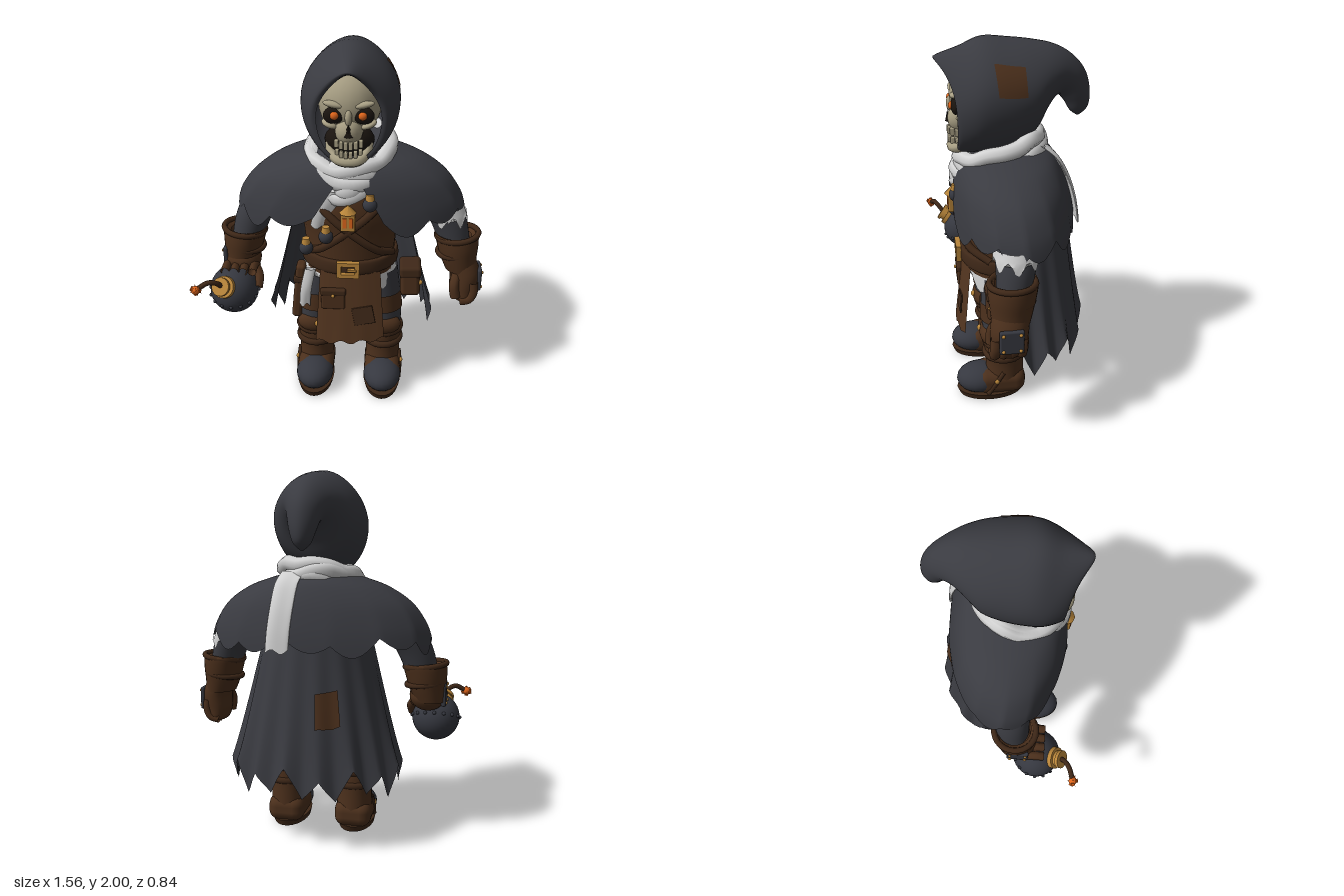
import * as THREE from 'three';
import { mergeVertices } from 'three/addons/utils/BufferGeometryUtils.js';
import { RoundedBoxGeometry } from 'three/addons/geometries/RoundedBoxGeometry.js';

const paint = (name, color, side = THREE.FrontSide) => {
  const m = new THREE.MeshStandardMaterial({ color, side });
  m.name = name;
  return m;
};
const D = THREE.DoubleSide, PI = Math.PI, { sin, cos, abs } = Math;
const lerp = THREE.MathUtils.lerp;
const V = (p) => new THREE.Vector3(...p);

// Smooth surface from a rule f(u, v) -> [x, y, z]
function surf(f, nu, nv) {
  const pos = [], idx = [];
  for (let j = 0; j <= nv; j++) for (let i = 0; i <= nu; i++) pos.push(...f(i / nu, j / nv));
  for (let j = 0; j < nv; j++) for (let i = 0; i < nu; i++) {
    const a = j * (nu + 1) + i, b = a + nu + 1;
    idx.push(a, b, a + 1, a + 1, b, b + 1);
  }
  let g = new THREE.BufferGeometry();
  g.setAttribute('position', new THREE.Float32BufferAttribute(pos, 3));
  g.setIndex(idx);
  g = mergeVertices(g, 1e-4);
  g.computeVertexNormals();
  return g;
}
// Catmull-Rom interpolation between rows of numbers
function sample(rows, t) {
  const n = rows.length - 1, i = Math.min(Math.floor(t * n), n - 1), f = t * n - i;
  const r = (k) => rows[Math.max(0, Math.min(n, k))];
  return r(i).map((b, k) => {
    const a = r(i - 1)[k], c = r(i + 1)[k], d = r(i + 2)[k];
    return b + 0.5 * f * (c - a + f * (2 * a - 5 * b + 4 * c - d + f * (3 * (b - c) + d - a)));
  });
}
// Stacked ellipses, rows of [x, y, z, rx, rz] from top to bottom
const loft = (rows, nu = 28, nv = rows.length * 4, hem = () => 0) => surf((u, v) => {
  const [x, y, z, rx, rz] = sample(rows, v), a = u * 2 * PI;
  return [x + rx * sin(a), y + (v === 1 ? hem(u) : 0), z + rz * cos(a)];
}, nu, nv);
// Thick cloth strip along a path
const strip = (rows, w) => surf((u, v) => {
  const [x, y, z] = sample(rows, v), a = u * 2 * PI;
  return [x + 0.5 * w * sin(a), y + 0.012 * sin(4 * sin(a)) * v, z + 0.012 * cos(a)];
}, 24, 16);
const tube = (pts, r, closed = false, n = 24) =>
  new THREE.TubeGeometry(new THREE.CatmullRomCurve3(pts.map(V), closed), n, r, 8, closed);
const ball = (x, y, z) => new THREE.SphereGeometry(1, 20, 14).scale(x, y, z);
const box = (x, y, z, r = 0.012) => new RoundedBoxGeometry(x, y, z, 2, r);

// Hood cross-sections: top y, top z, bottom y, bottom z, half width, peak sharpness
const hoodRows = [
  [1.885, 0.32, 1.44, 0.265, 0.158, 1], [1.91, 0.365, 1.42, 0.255, 0.192, 1], [1.955, 0.24, 1.42, 0.17, 0.236, 0.5],
  [1.998, 0.13, 1.43, 0.08, 0.248, 0.2], [1.99, 0, 1.46, -0.03, 0.24, 0], [1.975, -0.12, 1.52, -0.13, 0.215, 0],
  [1.95, -0.23, 1.62, -0.18, 0.165, 0], [1.9, -0.32, 1.68, -0.215, 0.12, 0], [1.82, -0.39, 1.7, -0.25, 0.09, 0],
  [1.72, -0.42, 1.66, -0.29, 0.07, 0], [1.63, -0.415, 1.61, -0.32, 0.045, 0], [1.58, -0.37, 1.58, -0.36, 0.004, 0]];
function hoodPoint(u, v, grow = 1) {
  const [yt, zt, yb, zb, rx, peak] = sample(hoodRows, v), c = cos(u * 2 * PI), h = (1 + c) / 2;
  const pinch = 1 - (0.15 + 0.3 * peak) * Math.max(0, c) ** 2;
  return [rx * pinch * grow * sin(u * 2 * PI), (yt + yb) / 2 + c * grow * (yt - yb) / 2,
    zb + (zt - zb) * Math.max(h, 0) ** (1 + 4 * Math.max(peak, 0))];
}
// Long cloak with folds and a torn hem
function cloakPoint(u, v, grow = 0) {
  const a = (-100 + 200 * u) * PI / 180, spike = abs(2 * ((u * 9) % 1) - 1);
  const hem = 0.28 + 0.13 * spike + 0.03 * (1 + sin(u * 25));
  const fold = 0.01 * v * cos(u * 18 * PI) + grow;
  return [(lerp(0.25, 0.47, v) + fold) * sin(a), lerp(1.3, 0.38, v) + (hem - 0.38) * v ** 5,
    lerp(-0.02, -0.075, v) - (lerp(0.26, 0.335, v) + fold) * cos(a)];
}
// Shoulder mantle: y, half width, front depth, back depth, half slit
const mantleRows = [[1.46, 0.15, 0.14, 0.14, 0.005], [1.425, 0.27, 0.21, 0.21, 0.012], [1.38, 0.39, 0.26, 0.25, 0.03],
  [1.3, 0.51, 0.295, 0.29, 0.08], [1.2, 0.585, 0.31, 0.32, 0.14], [1.125, 0.615, 0.315, 0.335, 0.18]];
function mantlePoint(u, v) {
  const [y, rx, rf, rb, gap] = sample(mantleRows, v), a0 = Math.asin(gap / rx), a = a0 + (2 * PI - 2 * a0) * u;
  const torn = v ** 5 * (0.065 * abs(sin(u * 13 * PI)) + 0.025 * sin(u * 37));
  return [rx * sin(a), y - torn, cos(a) * (cos(a) > 0 ? rf : rb)];
}

export function createModel() {
  const cloth = paint('charcoal cloth', 0x3a3b41, D), steel = paint('dark steel', 0x363840);
  const leather = paint('brown leather', 0x4c301c, D), dark = paint('dark leather', 0x3f2818, D);
  const apronMat = paint('apron leather', 0x53351f, D), white = paint('off white linen', 0xd2d2d2, D);
  const bone = paint('bone', 0xa89f84), gold = paint('brass', 0xb8853a);
  const glow = paint('ember orange', 0xe0661c), black = paint('black', 0x1a140f);

  const root = new THREE.Group(), body = new THREE.Group();
  root.name = 'hoodedFigure';
  body.name = 'body';
  body.position.x = 0.055;
  root.add(body);
  const add = (name, geo, mat, x = 0, y = 0, z = 0, rz = 0, rx = 0) => {
    const m = new THREE.Mesh(geo, mat);
    m.name = name;
    m.position.set(x, y, z);
    m.rotation.set(rx, 0, rz);
    body.add(m);
    return m;
  };

  // Hood, cloak and mantle with their patches
  add('hood', surf((u, v) => hoodPoint(u, v), 48, 55), cloth);
  add('hoodPatch', surf((u, v) => hoodPoint(lerp(0.135, 0.225, u) + 0.012 * v, lerp(3.25, 4.45, v) / 11, 1.015), 6, 6), leather);
  add('cloak', surf((u, v) => cloakPoint(u, v), 90, 20), cloth);
  add('cloakPatch', surf((u, v) => cloakPoint(lerp(0.36, 0.455, u), lerp(0.46, 0.66, v) + 0.02 * u, 0.008), 10, 6), leather);
  add('mantle', surf(mantlePoint, 104, 24), cloth);

  // Skull
  add('cranium', ball(0.162, 0.185, 0.175), bone, 0, 1.72, 0.12);
  add('upperJaw', ball(0.07, 0.08, 0.08), bone, 0, 1.595, 0.228);
  add('mouthInside', ball(0.125, 0.085, 0.09), black, 0, 1.53, 0.18);
  add('noseHole', new THREE.ConeGeometry(0.033, 0.065, 3).scale(1, 1, 0.4), black, 0, 1.612, 0.304);
  add('noseBridge', ball(0.018, 0.04, 0.02), bone, 0, 1.672, 0.29);
  add('jaw', tube([[-0.095, 1.52, 0.2], [-0.085, 1.475, 0.235], [-0.05, 1.452, 0.278], [0, 1.447, 0.29],
    [0.05, 1.452, 0.278], [0.085, 1.475, 0.235], [0.095, 1.52, 0.2]], 0.025), bone);
  for (const s of [-1, 1]) {
    add('eyeSocket', ball(0.054, 0.043, 0.024), black, s * 0.07, 1.68, 0.268, -s * 0.15);
    add('eye', ball(0.021, 0.02, 0.016), glow, s * 0.068, 1.682, 0.288);
    add('brow', ball(0.055, 0.017, 0.024), bone, s * 0.07, 1.732, 0.272, s * 0.2);
    add('cheekbone', ball(0.045, 0.02, 0.045), bone, s * 0.092, 1.622, 0.225, s * 0.35);
  }
  for (let i = -2.5; i <= 2.5; i++) {
    const z = 0.3 - 0.006 * i * i;
    add('upperTooth', box(0.021, 0.04, 0.024, 0.006), bone, i * 0.024, 1.535, z);
    add('lowerTooth', box(0.02, 0.035, 0.024, 0.006), bone, i * 0.023, 1.488, z - 0.002);
  }

  // Scarf wound round the neck, with a tail down the back
  for (const [rx, rz, y, drop, r, tilt] of [[0.205, 0.2, 1.445, 0.06, 0.042, 0.02], [0.19, 0.215, 1.395, 0.075, 0.045, -0.03], [0.15, 0.22, 1.35, 0.1, 0.042, 0.03]]) {
    const pts = Array.from({ length: 16 }, (_, i) => {
      const a = i * PI / 8;
      return [rx * sin(a), y - drop * cos(a) + 0.008 * sin(i * 2.4) + tilt * sin(a), 0.05 + rz * cos(a)];
    });
    add('scarfLoop', tube(pts, r, true, 64), white);
  }
  add('scarfFront', ball(0.15, 0.085, 0.06), white, 0, 1.355, 0.225);
  add('scarfKnot', ball(0.07, 0.06, 0.045), white, 0, 1.285, 0.265);
  add('scarfTail', strip([[0.1, 1.47, -0.16], [0.12, 1.41, -0.232], [0.13, 1.3, -0.29], [0.14, 1.18, -0.325], [0.145, 1.07, -0.342]], 0.125), white);
  add('scarfFrontEnd', strip([[-0.06, 1.28, 0.265], [-0.12, 1.17, 0.25], [-0.15, 1.06, 0.225]], 0.1), white);

  // Torso, belt, shirt hem and trousers
  add('tunic', loft([[0, 1.44, 0.03, 0.12, 0.11], [0, 1.32, 0.03, 0.24, 0.2], [0, 1.15, 0.04, 0.28, 0.23],
    [0, 1, 0.04, 0.255, 0.215], [0, 0.86, 0.04, 0.245, 0.205], [0, 0.76, 0.04, 0.25, 0.2]]), leather);
  add('belt', loft([[0, 0.87, 0.04, 0.24, 0.2], [0, 0.865, 0.04, 0.262, 0.226], [0, 0.8, 0.04, 0.265, 0.228], [0, 0.79, 0.04, 0.24, 0.2]]), dark);
  add('shirtHem', loft([[0, 0.8, 0.04, 0.245, 0.19], [0, 0.71, 0.04, 0.265, 0.19]], 48, 4, (u) => 0.05 * sin(u * 38)), white);
  add('shirtTail', strip([[-0.21, 0.78, 0.185], [-0.235, 0.66, 0.195], [-0.245, 0.55, 0.185]], 0.06), white);
  add('trouserSeat', loft([[0, 0.8, 0.04, 0.235, 0.17], [0, 0.65, 0.04, 0.25, 0.15], [0, 0.55, 0.04, 0.18, 0.11], [0, 0.53, 0.04, 0.01, 0.01]]), cloth);
  const buckle = new THREE.Shape([[-0.06, -0.045], [0.06, -0.045], [0.06, 0.045], [-0.06, 0.045]].map((p) => new THREE.Vector2(...p)));
  buckle.holes.push(new THREE.Path([[-0.036, -0.023], [-0.036, 0.023], [0.036, 0.023], [0.036, -0.023]].map((p) => new THREE.Vector2(...p))));
  add('buckle', new THREE.ExtrudeGeometry(buckle, { depth: 0.028, bevelEnabled: false }), gold, 0, 0.834, 0.262);
  add('bucklePin', box(0.05, 0.016, 0.02, 0.004), gold, 0.02, 0.834, 0.283);

  // Chest straps, flasks and lantern
  for (const s of [-1, 1]) {
    const pts = [[-0.23, 1.26, 0.17], [-0.1, 1.14, 0.262], [0.03, 1.03, 0.268], [0.15, 0.93, 0.225], [0.23, 0.87, 0.12]];
    add('chestStrap', tube(pts.map(([x, y, z]) => [s * x, y, z]), 0.022), dark);
  }
  for (const [x, y, z] of [[0.11, 1.22, 0.285], [-0.115, 1.03, 0.28], [-0.225, 0.935, 0.23]]) {
    add('flask', ball(0.038, 0.038, 0.035), steel, x, y, z);
    add('flaskCap', new THREE.CylinderGeometry(0.02, 0.025, 0.032, 12), gold, x, y + 0.042, z);
  }
  add('lanternBody', box(0.075, 0.1, 0.05, 0.008), gold, 0, 1.13, 0.295);
  add('lanternRoof', new THREE.ConeGeometry(0.045, 0.045, 8), gold, 0, 1.2, 0.295);
  for (const s of [-1, 1]) add('lanternPane', box(0.02, 0.055, 0.008, 0.002), glow, s * 0.016, 1.13, 0.32);
  add('lanternRing', new THREE.TorusGeometry(0.014, 0.005, 6, 14), gold, 0, 1.23, 0.295);

  // Apron with pocket and patch
  add('apron', surf((u, v) => {
    const x = lerp(-0.17, 0.19, u) * lerp(0.9, 1.05, v);
    return [x, lerp(0.8, 0.37 + 0.025 * u + 0.012 * sin(u * 21), v), lerp(0.25, 0.3, v) - 0.9 * x * x];
  }, 20, 12), apronMat);
  add('apronPocket', box(0.13, 0.12, 0.03), leather, -0.08, 0.645, 0.268);
  add('pocketFlap', box(0.138, 0.04, 0.036), dark, -0.08, 0.69, 0.268);
  add('pocketStud', ball(0.01, 0.01, 0.008), gold, -0.08, 0.675, 0.29);
  add('apronPatch', box(0.115, 0.105, 0.009, 0.003), dark, 0.085, 0.55, 0.278, 0.2, -0.1);

  // Hip pouch and sheath
  add('hipPouch', box(0.11, 0.17, 0.14, 0.025), leather, 0.335, 0.69, 0.09, 0.05);
  add('hipPouchFlap', box(0.12, 0.07, 0.15, 0.02), dark, 0.335, 0.755, 0.09, 0.05);
  add('hipPouchStud', ball(0.014, 0.014, 0.014), gold, 0.39, 0.69, 0.14);
  add('sheath', box(0.055, 0.34, 0.09, 0.02), leather, -0.285, 0.6, 0.1, -0.1);
  add('sheathStrap', box(0.065, 0.04, 0.1, 0.012), dark, -0.28, 0.68, 0.1, -0.1);

  for (const s of [-1, 1]) {
    const x = s * 0.195;
    // Leg, thigh patch and knee pad
    add('trouserLeg', loft([[s * 0.15, 0.75, 0.04, 0.115, 0.13], [s * 0.18, 0.55, 0.05, 0.11, 0.12], [x, 0.4, 0.06, 0.1, 0.105], [x, 0.28, 0.06, 0.085, 0.09]]), cloth);
    add('thighPatch', surf((u, v) => {
      const a = lerp(-0.8, 1.3, u) * s;
      return [s * lerp(0.175, 0.185, v) + 0.119 * sin(a), lerp(0.61, 0.5, v), 0.05 + 0.129 * cos(a)];
    }, 12, 4), leather);
    add('kneePad', ball(0.1, 0.065, 0.055), leather, x, 0.405, 0.13);
    add('kneeStud', ball(0.018, 0.018, 0.014), gold, x - s * 0.02, 0.42, 0.182);
    // Boot
    add('bootShaft', loft([[x, 0.36, 0.05, 0.09, 0.095], [x, 0.34, 0.05, 0.106, 0.11], [x, 0.22, 0.045, 0.098, 0.106], [x, 0.1, 0.045, 0.103, 0.11]]), leather);
    for (const y of [0.272, 0.35]) add('bootBand', new THREE.TorusGeometry(0.1, 0.017, 8, 28).rotateX(PI / 2).scale(1, 1.3, 1.05), dark, x, y, 0.05);
    add('bootFoot', box(0.21, 0.15, 0.28, 0.06), leather, x, 0.095, 0.072);
    add('toeCap', ball(0.107, 0.083, 0.135), steel, x, 0.095, 0.185);
    add('sole', new THREE.CylinderGeometry(0.108, 0.1, 0.035, 28).scale(1, 1, 1.8), dark, x, 0.0175, 0.125);
    add('bootStrap', tube([[x + s * 0.098, 0.04, 0.15], [x + s * 0.102, 0.12, 0.1], [x + s * 0.095, 0.18, 0.06]], 0.013), dark);
    add('bootStud', ball(0.01, 0.014, 0.014), gold, x + s * 0.11, 0.13, 0.1);

    // Sleeve and gauntlet
    add('sleeve', loft([[s * 0.4, 1.3, 0.01, 0.1, 0.12], [s * 0.47, 1.15, 0.02, 0.11, 0.115], [s * 0.53, 1.03, 0.035, 0.1, 0.1], [s * 0.57, 0.9, 0.05, 0.085, 0.085]]), cloth);
    add('gauntletCuff', loft([[s * 0.57, 0.95, 0.055, 0.09, 0.09], [s * 0.575, 0.97, 0.055, 0.118, 0.12],
      [s * 0.585, 0.91, 0.06, 0.114, 0.12], [s * 0.595, 0.83, 0.065, 0.1, 0.108], [s * 0.61, 0.76, 0.07, 0.085, 0.095]]), leather);
    for (const [y, r] of [[0.96, 0.112], [0.86, 0.1]]) add('cuffRim', new THREE.TorusGeometry(r, 0.016, 8, 28).rotateX(PI / 2), dark, s * 0.582, y, 0.06, s * 0.12);
    // Riveted plate on the outside of the hand
    const py = s > 0 ? 0.71 : 0.8, px = s > 0 ? 0.712 : 0.685;
    add('handPlate', box(0.025, 0.13, 0.12, 0.01), steel, s * px, py, 0.08);
    for (const dy of [-1, 1]) for (const dz of [-1, 1]) add('plateRivet', ball(0.009, 0.009, 0.009), gold, s * (px + 0.013), py + dy * 0.045, 0.08 + dz * 0.042);
  }
  add('sleeveLining', loft([[0.49, 1.12, 0.024, 0.116, 0.12], [0.522, 1.055, 0.035, 0.11, 0.112]], 40, 4, (u) => 0.035 * sin(u * 45)), white);

  // Left hand, hanging
  add('leftHand', loft([[0.605, 0.83, 0.07, 0.08, 0.09], [0.635, 0.74, 0.08, 0.083, 0.095], [0.632, 0.65, 0.085, 0.075, 0.09],
    [0.63, 0.59, 0.088, 0.05, 0.08], [0.63, 0.575, 0.088, 0.01, 0.02]]), leather);
  for (let i = 0; i < 4; i++) {
    const z = 0.02 + i * 0.044;
    add('leftFinger', tube([[0.675, 0.71, z], [0.68, 0.65, z + 0.003], [0.66, 0.605, z + 0.005], [0.61, 0.592, z + 0.005]], 0.028, false, 10), leather);
  }
  add('leftThumb', tube([[0.59, 0.75, 0.13], [0.575, 0.69, 0.16], [0.585, 0.62, 0.165]], 0.028, false, 10), leather);

  // Right hand gripping the bomb
  add('rightHand', ball(0.1, 0.085, 0.1), leather, -0.595, 0.785, 0.08);
  for (let i = 0; i < 4; i++) {
    const pts = [-0.7, -0.3, 0.05, 0.3].map((a) => [-0.675 + i * 0.05, 0.63 + 0.143 * cos(a), 0.18 + 0.148 * sin(a)]);
    add('rightFinger', tube(pts, 0.024, false, 10), leather);
  }
  add('rightThumb', tube([[-0.54, 0.77, 0.1], [-0.5, 0.71, 0.15], [-0.5, 0.66, 0.2]], 0.025, false, 10), leather);
  add('bomb', new THREE.SphereGeometry(0.133, 32, 22), steel, -0.635, 0.64, 0.185);
  for (let i = 0; i < 16; i++) {
    const a = i * PI / 8;
    add('bombRivet', ball(0.01, 0.01, 0.01), steel, -0.635 + 0.134 * cos(a), 0.64 - 0.05 * sin(a), 0.185 + 0.124 * sin(a));
  }
  const axis = V([-0.25, 0.53, 0.81]).normalize();
  for (const [d, r, h] of [[0.125, 0.06, 0.035], [0.15, 0.042, 0.04], [0.17, 0.05, 0.018]]) {
    const c = add('bombCollar', new THREE.CylinderGeometry(r, r, h, 24), gold, -0.635, 0.64, 0.185);
    c.position.addScaledVector(axis, d);
    c.quaternion.setFromUnitVectors(V([0, 1, 0]), axis);
  }
  add('fuse', tube([[-0.67, 0.72, 0.31], [-0.695, 0.765, 0.345], [-0.735, 0.78, 0.37], [-0.79, 0.75, 0.39]], 0.014), dark);
  add('spark', ball(0.024, 0.024, 0.022), glow, -0.795, 0.748, 0.392);
  for (let i = 0; i < 6; i++) add('sparkRay', new THREE.ConeGeometry(0.012, 0.066, 5).translate(0, 0.005, 0), glow, -0.795, 0.748, 0.392, i * PI / 3, i % 2);
  return root;
}
